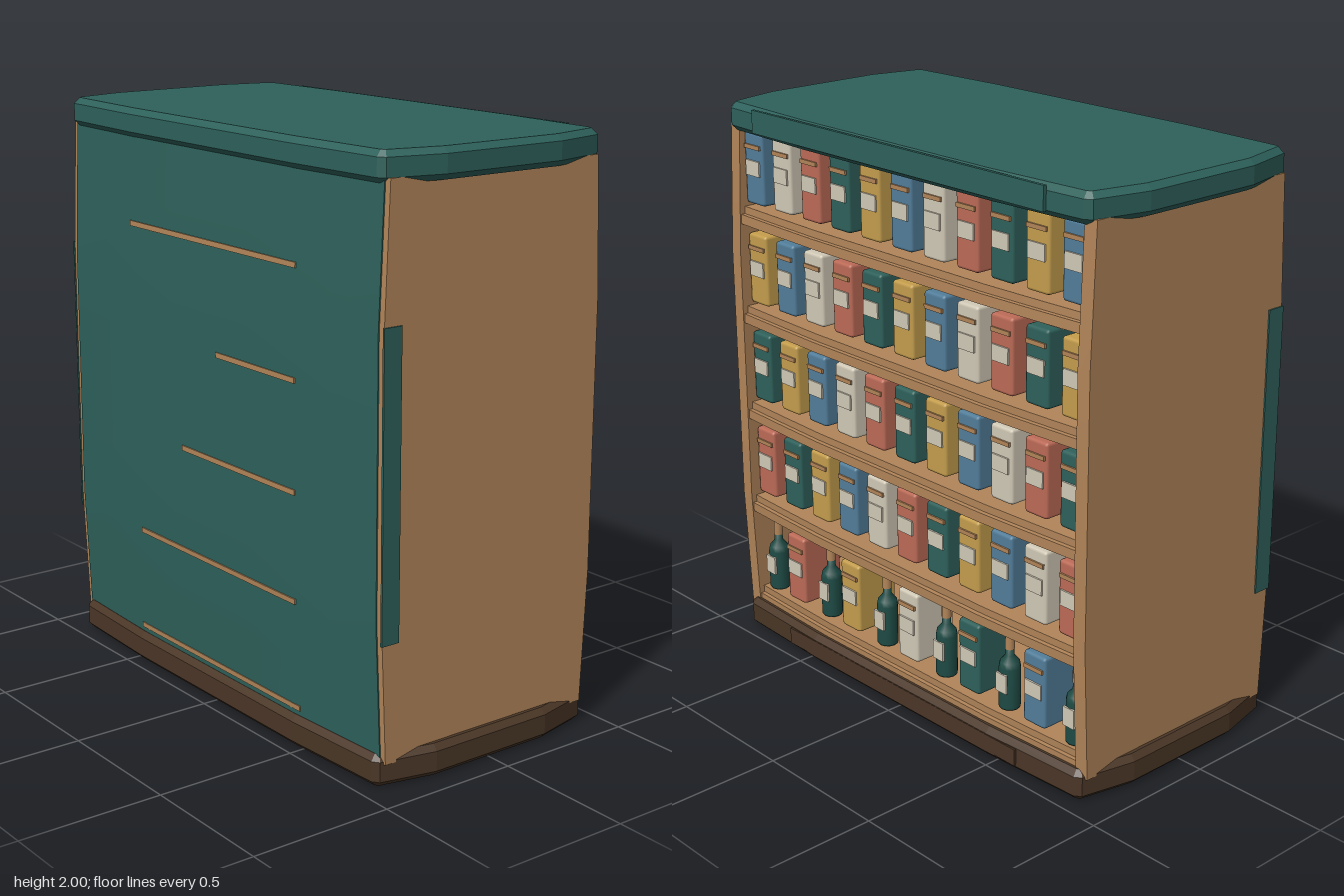
import * as THREE from 'three';
import { RoundedBoxGeometry } from 'three/addons/geometries/RoundedBoxGeometry.js';

const mat = (name, color) => {
  const m = new THREE.MeshStandardMaterial({ color });
  m.name = name;
  return m;
};

// 0 before a, 1 after b
const ramp = (v, a, b) => Math.min(1, Math.max(0, (v - a) / (b - a)));

export function createModel() {
  const root = new THREE.Group();
  root.name = 'displayShelf';

  const teal = mat('teal', 0x2e615b);
  const wood = mat('wood', 0xb28559);
  const darkWood = mat('dark wood', 0x4a3626);
  const red = mat('red', 0xbd6b57);
  const yellow = mat('yellow', 0xc59e4d);
  const blue = mat('blue', 0x527e9b);
  const cream = mat('cream', 0xd2cab7);
  const bottleGreen = mat('bottle green', 0x1f4c46);

  const add = (parent, name, geometry, material, x = 0, y = 0, z = 0) => {
    const mesh = new THREE.Mesh(geometry, material);
    mesh.name = name;
    mesh.position.set(x, y, z);
    parent.add(mesh);
    return mesh;
  };

  // Board given by its limits, swelling gently toward the middle of the cabinet
  const board = (name, material, x0, x1, y0, y1, z0, z1) => {
    const g = new THREE.BoxGeometry(x1 - x0, y1 - y0, z1 - z0, 2, y1 - y0 > 0.5 ? 8 : 1, z1 - z0 > 0.5 ? 8 : 1);
    g.translate((x0 + x1) / 2, (y0 + y1) / 2, (z0 + z1) / 2);
    const p = g.attributes.position;
    for (let i = 0; i < p.count; i++) {
      const byZ = 1 - 0.045 * ramp(Math.abs(p.getZ(i)), 0.46, 0.87);
      const byY = 1 - 0.045 * ramp(Math.abs(p.getY(i) - 1), 0.48, 0.9);
      p.setX(i, p.getX(i) * byZ * byY);
    }
    g.computeVertexNormals();
    return add(root, name, g, material);
  };

  // Chamfered slab with a bowed outline, used for lid and plinth
  const slab = (name, material, y0, y1, grow) => {
    const quarter = [[0.46, 0.46], [0.442, 0.855], [0.425, 0.878], [0.23, 0.922]];
    const back = [...quarter].reverse();
    const outline = [
      ...quarter,
      ...back.map(([x, z]) => [-x, z]),
      ...quarter.map(([x, z]) => [-x, -z]),
      ...back.map(([x, z]) => [x, -z]),
    ].map(([x, z]) => new THREE.Vector2(x + Math.sign(x) * grow, z));
    const b = 0.02;
    const g = new THREE.ExtrudeGeometry(new THREE.Shape(outline), {
      depth: y1 - y0 - 2 * b, bevelEnabled: true, bevelThickness: b,
      bevelSize: b, bevelOffset: -b, bevelSegments: 1,
    });
    g.rotateX(-Math.PI / 2);
    add(root, name, g, material, 0, y0 + b, 0);
  };

  slab('lid', teal, 1.9, 2, 0);
  slab('plinth', darkWood, 0, 0.108, 0.004);
  add(root, 'lidFascia', new THREE.BoxGeometry(0.012, 0.08, 1.42), teal, 0.456, 1.957, 0);
  add(root, 'plinthFascia', new THREE.BoxGeometry(0.012, 0.06, 1.2), darkWood, 0.459, 0.055, 0);

  // Carcass
  board('backPanel', teal, -0.463, -0.37, 0.08, 1.92, -0.868, 0.868);
  for (const s of [1, -1]) {
    board('sidePanel', wood, -0.458, 0.46, 0.08, 1.92, s > 0 ? 0.84 : -0.89, s > 0 ? 0.89 : -0.84);
    add(root, 'sideStrip', new THREE.BoxGeometry(0.068, 1, 0.008), teal, -0.406, 0.98, s * 0.891);
  }

  // Shelves with front lip, light strip and slot at the back
  const shelfTops = [0.155, 0.53, 0.897, 1.263, 1.628];
  const slotStarts = [-0.47, -0.43, -0.16, 0.05, -0.47];
  shelfTops.forEach((top, row) => {
    board('shelf', wood, -0.4, 0.438, top - 0.045, top, -0.845, 0.845);
    board('shelfLip', wood, 0.43, 0.455, top - 0.06, top - 0.026, -0.838, 0.838);
    board('backSlot', wood, -0.467, -0.46, top - 0.03, top - 0.012, slotStarts[row], 0.48);
    if (row > 0) {
      add(root, 'lightStrip', new THREE.BoxGeometry(0.02, 0.012, 1.5), cream, 0.4, top - 0.068, 0);
    }
  });

  // Cartons
  const bodyGeo = new RoundedBoxGeometry(0.17, 0.258, 0.102, 1, 0.012);
  const labelGeo = new THREE.BoxGeometry(0.008, 0.054, 0.074);
  const bandGeo = new THREE.BoxGeometry(0.008, 0.015, 0.084);
  const carton = (color, y, z) => {
    const g = new THREE.Group();
    g.name = 'carton';
    g.position.set(0.322, y, z);
    add(g, 'cartonBody', bodyGeo, color, 0, 0.129, 0);
    add(g, 'cartonLabel', labelGeo, cream, 0.087, 0.132, 0);
    add(g, 'cartonBand', bandGeo, wood, 0.087, 0.207, 0);
    root.add(g);
  };

  // Bottles
  const profile = [[0, 0], [0.034, 0], [0.038, 0.008], [0.038, 0.15], [0.034, 0.17], [0.016, 0.192], [0.014, 0.225], [0, 0.225]];
  const bottleGeo = new THREE.LatheGeometry(profile.map(([r, y]) => new THREE.Vector2(r, y)), 12);
  const capGeo = new THREE.CylinderGeometry(0.016, 0.017, 0.055, 10);
  const bottleLabelGeo = new THREE.BoxGeometry(0.008, 0.068, 0.05);
  const bottle = (y, z) => {
    const g = new THREE.Group();
    g.name = 'bottle';
    g.position.set(0.365, y, z);
    add(g, 'bottleBody', bottleGeo, bottleGreen);
    add(g, 'bottleCap', capGeo, wood, 0, 0.243, 0);
    add(g, 'bottleLabel', bottleLabelGeo, cream, 0.037, 0.1, 0);
    root.add(g);
  };

  // Eleven goods per shelf, colours shifting by one each row
  const cycle = [red, teal, yellow, blue, cream];
  shelfTops.forEach((top, row) => {
    for (let i = 0; i < 11; i++) {
      const z = 0.787 - i * 0.1574;
      if (row === 0 && i % 2 === 0) bottle(top + 0.004, z);
      else carton(cycle[(i + row + 4) % 5], top + 0.013, z);
    }
  });

  return root;
}
